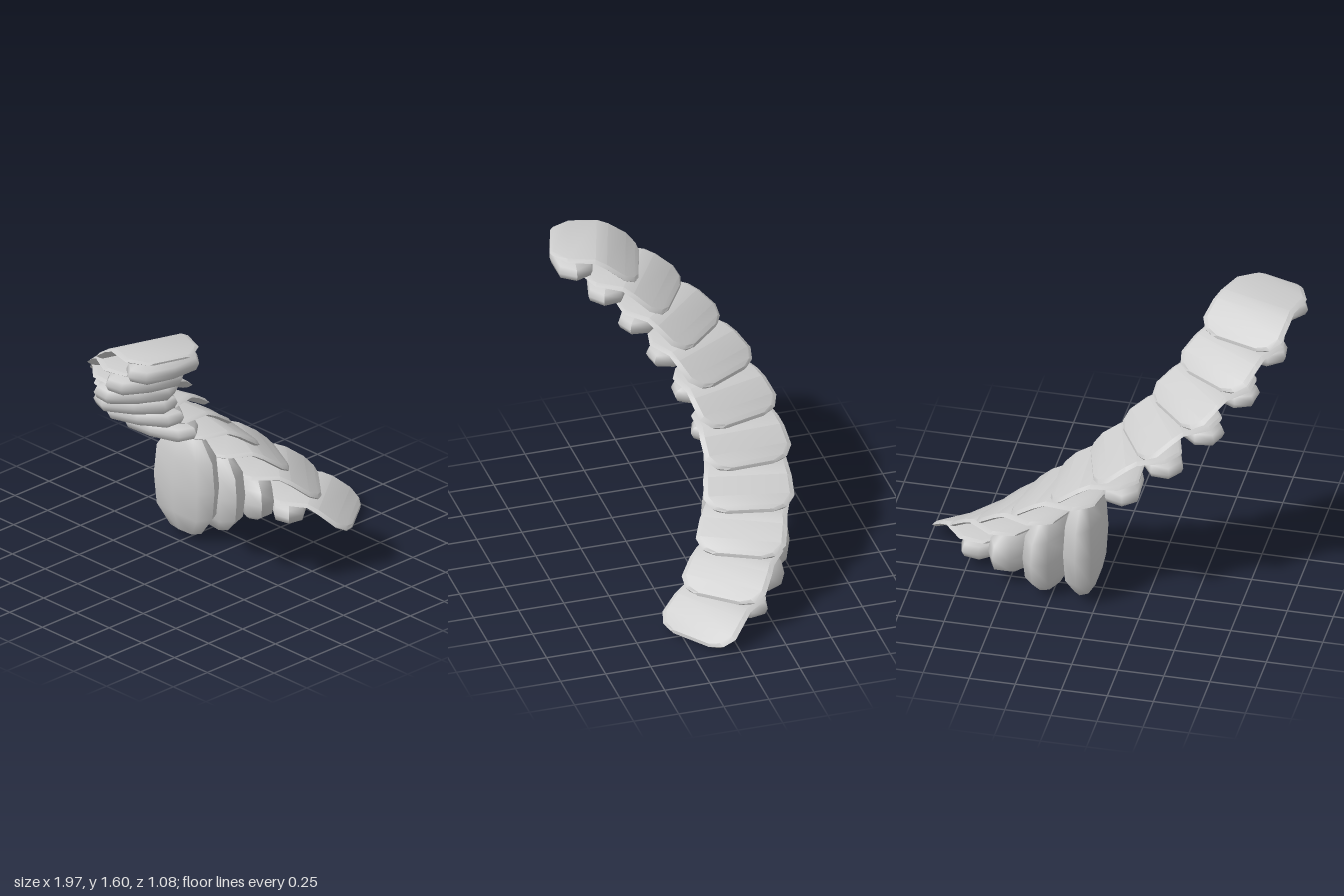
import * as THREE from 'three';
import { toCreasedNormals } from 'three/addons/utils/BufferGeometryUtils.js';

const STEPS = 10;
const CENTRE = [0.05, 0.52];  // axis of the curved flight (x, z)
const RADIUS = 0.81;
const RISE = 0.158;
const rad = THREE.MathUtils.degToRad;

// Thin bevelled slab: flat tread behind the fold (z < 0), sloping ramp in front.
// Each station: z, top height, half width, thickness
function slabGeometry() {
  const stations = [
    [-0.245, -0.006, 0.12, 0.01],
    [-0.23, 0, 0.145, 0.018],
    [-0.15, 0, 0.215, 0.024],
    [0, 0, 0.225, 0.026],
    [0.06, -0.025, 0.236, 0.032],
    [0.155, -0.087, 0.242, 0.034],
    [0.205, -0.122, 0.2, 0.032],
    [0.225, -0.138, 0.14, 0.02],
  ];
  const bevel = 0.025, positions = [], index = [], n = 6;
  for (const [z, y, w, th] of stations) {
    const f = w - bevel, m = y - th / 2;
    positions.push(-f, y - th, z, f, y - th, z, w, m, z, f, y, z, -f, y, z, -w, m, z);
  }
  const last = (stations.length - 1) * n;
  for (let i = 0; i < last; i += n) {
    for (let j = 0; j < n; j++) {
      const k = (j + 1) % n;
      index.push(i + j, i + k, i + n + j, i + k, i + n + k, i + n + j);
    }
  }
  for (let j = 1; j < n - 1; j++) index.push(0, j + 1, j, last, last + j, last + j + 1);
  const g = new THREE.BufferGeometry();
  g.setAttribute('position', new THREE.Float32BufferAttribute(positions, 3));
  g.setIndex(index);
  return toCreasedNormals(g, 0.5);
}

// Low-poly pebble: a sphere pushed towards a box
function pebbleGeometry() {
  const g = new THREE.SphereGeometry(1, 8, 6);
  const p = g.attributes.position, e = 2.7;
  for (let i = 0; i < p.count; i++) {
    const [x, y, z] = [p.getX(i), p.getY(i), p.getZ(i)];
    const s = (Math.abs(x) ** e + Math.abs(y) ** e + Math.abs(z) ** e) ** (-1 / e);
    p.setXYZ(i, x * s, y * s, z * s);
  }
  g.computeVertexNormals();
  return g;
}

export function createModel() {
  const model = new THREE.Group();
  model.name = 'curvedStoneStairs';
  const material = new THREE.MeshStandardMaterial({ color: 0xcccccc });
  const slab = slabGeometry(), pebble = pebbleGeometry();

  // Place a part on the arc; its local x points outward, local z down the flight
  const place = (geometry, name, degrees, y) => {
    const a = rad(degrees);
    const mesh = new THREE.Mesh(geometry, material);
    mesh.name = name;
    mesh.position.set(CENTRE[0] - RADIUS * Math.cos(a), y, CENTRE[1] - RADIUS * Math.sin(a));
    mesh.rotation.y = Math.PI - a;
    model.add(mesh);
    return mesh;
  };

  // Bottom and top of the standing stones, lowest step first
  const standing = [[0.03, 0.165], [0.04, 0.31], [0, 0.46], [0.02, 0.62]];

  for (let i = 0; i < STEPS; i++) {
    const level = STEPS - 1 - i;
    const top = 0.178 + RISE * level;
    place(slab, `stepSlab${level + 1}`, 18 + 14 * i, top);

    // Standing stones carry the low steps, flat pebbles hang under the others
    const isStanding = level < standing.length;
    const [low, high] = isStanding ? standing[level] : [top - 0.15, top - 0.03];
    const stone = place(pebble, isStanding ? `standingStone${level + 1}` : `flatStone${level + 1}`,
      8.5 + 14 * i, (low + high) / 2);
    stone.scale.set(0.225, (high - low) / 2, isStanding ? 0.1 : 0.115);
  }
  return model;
}
